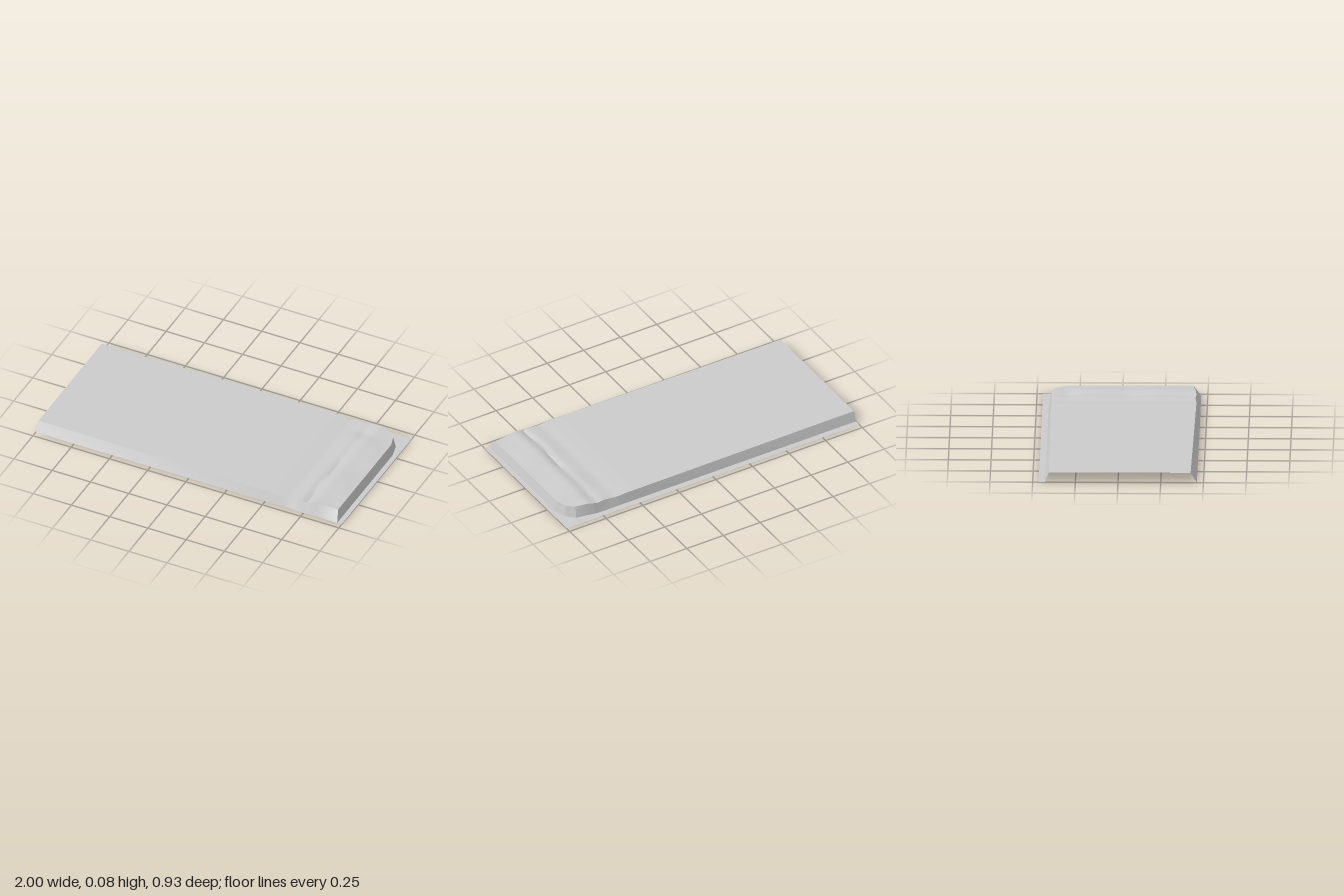
import * as THREE from 'three';
import { toCreasedNormals } from 'three/addons/utils/BufferGeometryUtils.js';

const material = new THREE.MeshStandardMaterial({ color: 0xcccccc, side: THREE.DoubleSide });
const FRONT = 0.462, BACK = -0.465, ROWS = 36;

// Linear interpolation through [x, value] pairs
function along(pairs, x) {
  for (let i = 1; i < pairs.length; i++) {
    const [x0, v0] = pairs[i - 1], [x1, v1] = pairs[i];
    if (x <= x1) return v0 + (v1 - v0) * Math.max(0, (x - x0) / (x1 - x0));
  }
  return pairs[pairs.length - 1][1];
}

const topFront = [[-1, 0.425], [0.6, 0.439], [0.68, 0.432], [0.76, 0.437], [0.955, 0.417]];
const topBack = [[-1, -0.405], [0.6, -0.413], [0.68, -0.407], [0.78, -0.413], [0.89, -0.385], [0.935, -0.345], [0.955, -0.28]];
const footBack = [[-1, -0.428], [0.76, -0.428], [0.89, -0.404], [0.935, -0.355], [0.955, -0.27]];
const footX = [[-1, -1], [0.8, 0.8], [0.955, 0.97]];
const ridge = [[-1, 0.06], [0.56, 0.06], [0.64, 0.055], [0.72, 0.064], [0.755, 0.061], [0.775, 0.067], [0.81, 0.074], [0.88, 0.069], [0.955, 0.064]];

const bump = (v, centre, width) => Math.exp(-(((v - centre) / width) ** 2));

// Height of the crumpled sheet
function height(x, z) {
  const end = THREE.MathUtils.smoothstep(x, 0.6, 0.8) * (1 - THREE.MathUtils.smoothstep(x, 0.88, 0.955));
  const creaseX = 0.76 - 0.02 * bump(z, 0.24, 0.12);
  const crease = 0.006 * bump(x, creaseX, 0.018) * THREE.MathUtils.smoothstep(z, -0.08, 0.06);
  const hollow = 0.007 * bump(x, 0.77, 0.08) * bump(z, -0.31, 0.04);
  return along(ridge, x) + 0.0025 * end * Math.cos(z * 17 - 3.4) - crease - hollow;
}

// Surface through equal-length rows of points
function patch(name, rows) {
  const n = rows[0].length, index = [];
  for (let i = 0; i < rows.length - 1; i++)
    for (let j = 0; j < n - 1; j++) {
      const a = i * n + j, b = a + n;
      index.push(a, b, a + 1, b, b + 1, a + 1);
    }
  const geometry = new THREE.BufferGeometry();
  geometry.setAttribute('position', new THREE.Float32BufferAttribute(rows.flat(2), 3));
  geometry.setIndex(index);
  const mesh = new THREE.Mesh(toCreasedNormals(geometry, 0.5), material);
  mesh.name = name;
  return mesh;
}

export function createModel() {
  const group = new THREE.Group();
  group.name = 'coverSheet';

  // Stations are sparse on the flat run and dense at the crumpled end
  const stations = [-1, -0.6, -0.2, 0.2, 0.45, 0.56, 0.6];
  for (let x = 0.62; x < 0.95; x += 0.015) stations.push(x);
  stations.push(0.955);

  const top = [], frontSkirt = [], backSkirt = [], backFlange = [];
  for (const x of stations) {
    const zf = along(topFront, x), zb = along(topBack, x), fx = along(footX, x);
    const row = [];
    for (let j = 0; j <= ROWS; j++) {
      const z = zf + (zb - zf) * j / ROWS;
      row.push([x, height(x, z), z]);
    }
    const foot = [fx, 0, along(footBack, x)];
    top.push(row);
    frontSkirt.push([[fx, 0, FRONT], row[0]]);
    backSkirt.push([row[ROWS], foot]);
    backFlange.push([foot, [fx, 0, BACK]]);
  }

  // End wall drops from the last station to the ground
  const last = top[top.length - 1];
  const endFoot = last.map((p, j) => [0.97, 0, FRONT + (-0.27 - FRONT) * j / ROWS]);

  group.add(
    patch('topPanel', top),
    patch('frontSkirt', frontSkirt),
    patch('backSkirt', backSkirt),
    patch('backFlange', backFlange),
    patch('endWall', [last, endFoot]),
    patch('endFlange', [[[0.97, 0, FRONT], [0.97, 0, BACK]], [[1, 0, FRONT], [1, 0, BACK]]])
  );
  return group;
}
